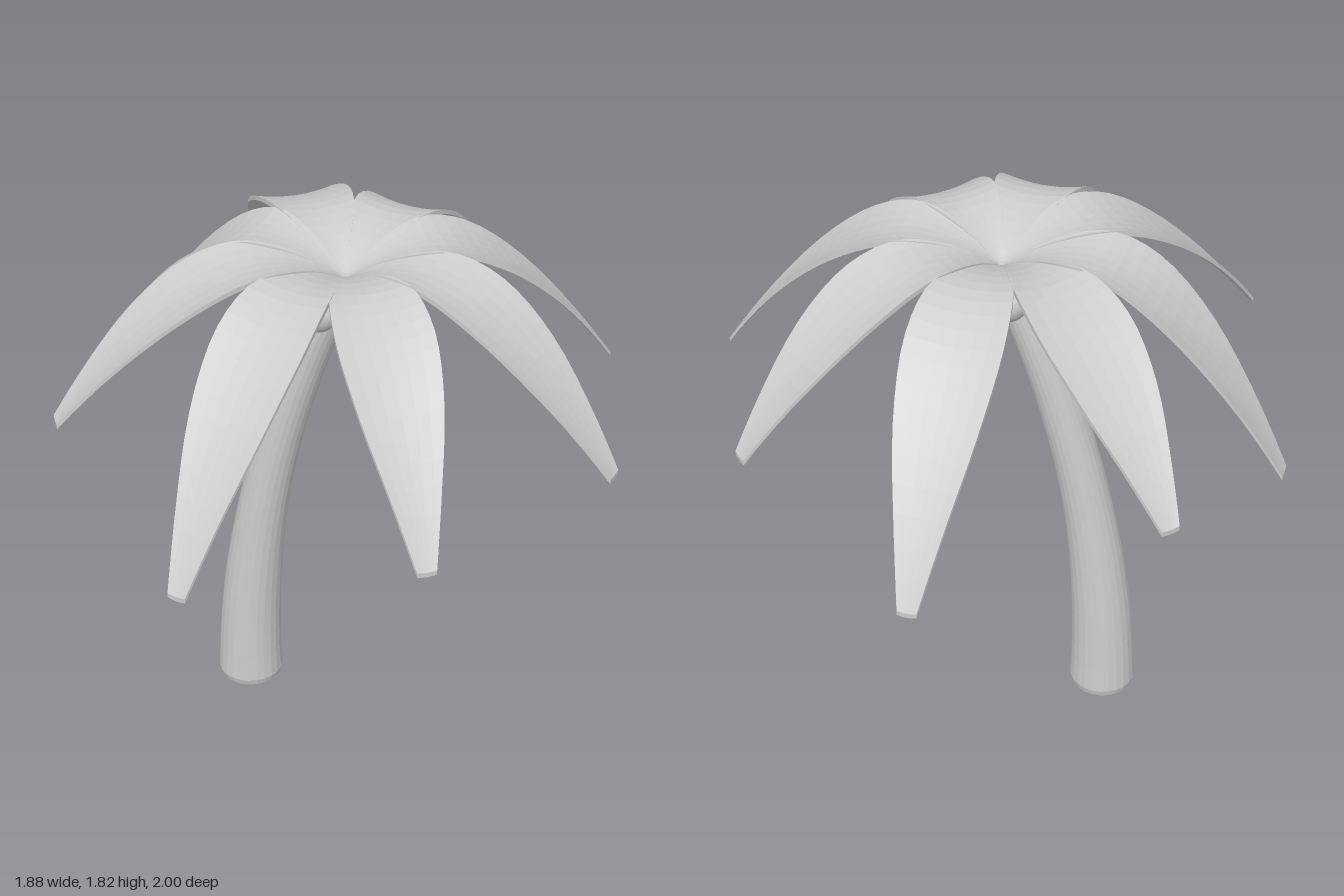
import * as THREE from 'three';

const palmGrey = new THREE.MeshStandardMaterial({ color: 0xcccccc });
palmGrey.name = 'palm grey';

// Piecewise-smooth lookup of a value on a short [position, value] profile
function profile(points) {
  const curve = new THREE.SplineCurve(points.map(([u, v]) => new THREE.Vector2(u, v)));
  const samples = curve.getPoints(200);
  return (u) => {
    const i = samples.findIndex((p) => p.x >= u);
    if (i < 0) return samples[samples.length - 1].y;
    if (i === 0) return samples[0].y;
    const a = samples[i - 1], b = samples[i];
    return a.y + (b.y - a.y) * (u - a.x) / (b.x - a.x || 1);
  };
}

// Move every vertex by a rule, then facet the surface
function reshape(geometry, rule) {
  const pos = geometry.attributes.position, v = new THREE.Vector3();
  for (let i = 0; i < pos.count; i++) {
    rule(v.fromBufferAttribute(pos, i));
    pos.setXYZ(i, v.x, v.y, v.z);
  }
  const faceted = geometry.index ? geometry.toNonIndexed() : geometry;
  faceted.computeVertexNormals();
  return faceted;
}

function addMesh(parent, name, geometry) {
  const mesh = new THREE.Mesh(geometry, palmGrey);
  mesh.name = name;
  parent.add(mesh);
  return mesh;
}

// Tapered trunk with a rounded foot, leaning further the higher it goes
function trunkGeometry() {
  const height = 1.72;
  const radius = profile([[0, 0.116], [0.4, 0.102], [0.8, 0.086], [1.2, 0.077], [1.72, 0.068]]);
  const outline = [[0, 0], [0.095, 0], [0.11, 0.012], [0.116, 0.035]].map(([r, y]) => new THREE.Vector2(r, y));
  for (let i = 1; i <= 18; i++) {
    const y = 0.035 + (height - 0.035) * i / 18;
    outline.push(new THREE.Vector2(radius(y), y));
  }
  outline.push(new THREE.Vector2(0, height));
  return reshape(new THREE.LatheGeometry(outline, 24), (v) => {
    const t = v.y / height;
    v.x += -0.368 + 0.368 * Math.pow(t, 2.1);
    v.z -= 0.018 * (1 - t);
  });
}

// Frond: a thin slab that widens, rises from the crown and droops to a blunt tip
const frondWidth = profile([[0, 0.02], [0.1, 0.09], [0.2, 0.18], [0.32, 0.26], [0.45, 0.3],
  [0.57, 0.3], [0.72, 0.25], [0.87, 0.155], [1, 0.062]]);

function frondGeometry(length, tipY) {
  const peak = 0.3, peakY = 1.795, thickness = 0.016;
  const slab = new THREE.BoxGeometry(1, 1, 1, 6, 1, 20);
  return reshape(slab, (v) => {
    const u = v.z + 0.5, across = v.x * 2, w = frondWidth(u);
    const spine = u < peak
      ? peakY - 0.09 * ((peak - u) / peak) ** 2
      : peakY - (peakY - tipY) * ((u - peak) / (1 - peak)) ** 1.75;
    v.x *= w;
    v.y = spine + v.y * thickness + 0.07 * w * across * across;
    v.z = u * length;
  });
}

export function createModel() {
  const model = new THREE.Group();
  model.name = 'palmTree';

  addMesh(model, 'trunk', trunkGeometry());

  // Fronds by tip position: x, z and height
  const tips = [
    [0.18, -1.0, 1.1], [0.765, -0.525, 1.28], [0.935, 0.19, 1.26], [0.5, 0.785, 1.215],
    [-0.215, 0.99, 1.11], [-0.8, 0.515, 1.325], [-0.935, -0.19, 1.1], [-0.58, -0.84, 1.35],
  ];
  const fronds = new THREE.Group();
  fronds.name = 'fronds';
  for (const [x, z, y] of tips) {
    const frond = addMesh(fronds, 'frond', frondGeometry(Math.hypot(x, z), y));
    frond.rotation.y = Math.atan2(x, z);
  }
  model.add(fronds);

  // Coconuts clustered under the crown
  const coconuts = new THREE.Group();
  coconuts.name = 'coconuts';
  for (const [x, z] of [[0.07, 0.015], [-0.03, -0.088], [-0.055, 0.105]]) {
    addMesh(coconuts, 'coconut', new THREE.SphereGeometry(0.066, 24, 16)).position.set(x, 1.635, z);
  }
  model.add(coconuts);

  return model;
}
